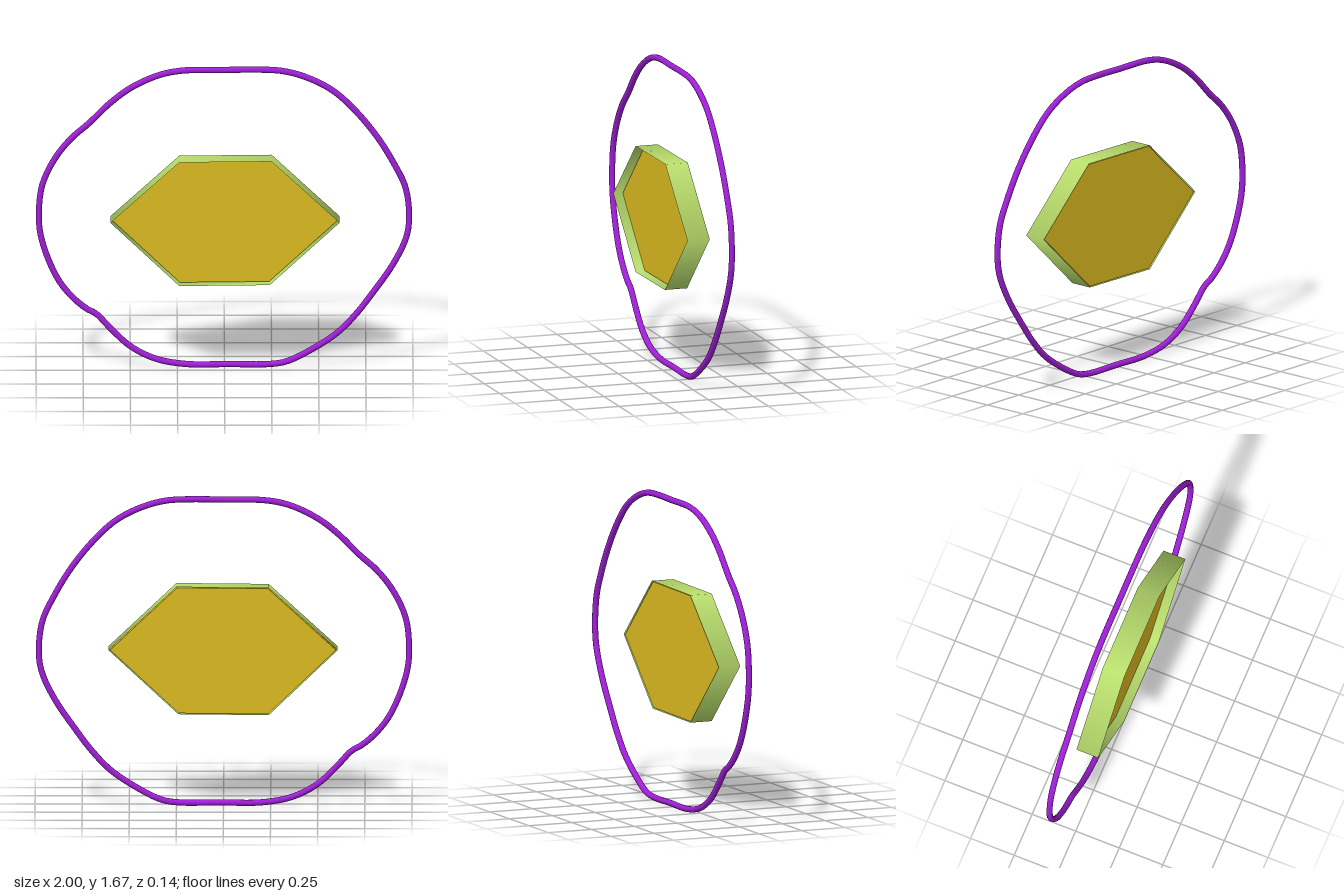
import * as THREE from 'three';

// Corners of the hexagon, counter-clockwise from +x
const HEX = [[0.61, 0.84], [0.25, 1.18], [-0.24, 1.175], [-0.605, 0.84], [-0.24, 0.49], [0.24, 0.495]];

// Centre line of the hoop, counter-clockwise from +x
const HOOP = [
  [0.98, 0.84], [0.96, 1.0], [0.9, 1.13], [0.81, 1.28], [0.69, 1.43], [0.57, 1.54], [0.435, 1.61],
  [0.31, 1.645], [0.18, 1.653], [0, 1.651], [-0.23, 1.647], [-0.355, 1.62], [-0.5, 1.55], [-0.61, 1.465],
  [-0.72, 1.355], [-0.815, 1.27], [-0.9, 1.16], [-0.965, 1.02], [-0.984, 0.885], [-0.978, 0.75],
  [-0.93, 0.59], [-0.87, 0.47], [-0.795, 0.38], [-0.72, 0.32], [-0.68, 0.3], [-0.62, 0.235],
  [-0.5, 0.12], [-0.365, 0.05], [-0.2, 0.02], [0.02, 0.02], [0.24, 0.02], [0.33, 0.035], [0.46, 0.1],
  [0.6, 0.195], [0.7, 0.3], [0.79, 0.42], [0.895, 0.575], [0.965, 0.725],
];

function addMesh(group, name, geometry, color, side = THREE.FrontSide) {
  const mesh = new THREE.Mesh(geometry, new THREE.MeshStandardMaterial({ color, side }));
  mesh.name = name;
  group.add(mesh);
}

export function createModel() {
  const group = new THREE.Group();
  group.name = 'hexagonInHoop';

  // Thin hoop around the hexagon, at the back plane
  const path = new THREE.CatmullRomCurve3(HOOP.map(([x, y]) => new THREE.Vector3(x, y, -0.053)), true);
  addMesh(group, 'hoop', new THREE.TubeGeometry(path, 160, 0.0165, 10, true), 0xa01fd8);

  // Open six-sided wall with smooth normals, stretched onto the hexagon
  const front = 0.07, back = -0.055;
  const wall = new THREE.CylinderGeometry(1, 1, 1, 6, 1, true, Math.PI / 2);
  wall.rotateX(Math.PI / 2);
  const pos = wall.attributes.position;
  for (let i = 0; i < pos.count; i++) {
    const [x, y] = HEX[(i % 7) % 6];
    pos.setXYZ(i, x, y, i < 7 ? front : back);
  }
  addMesh(group, 'rim', wall, 0xb8dc6c, THREE.DoubleSide);

  // Solid plate inside the wall, sunk below its front edge
  const inset = HEX.map(([x, y]) => new THREE.Vector2(x * 0.986, 0.836 + (y - 0.836) * 0.986));
  const plate = new THREE.ExtrudeGeometry(new THREE.Shape(inset), { depth: 0.07, bevelEnabled: false });
  plate.translate(0, 0, -0.05);
  addMesh(group, 'plate', plate, 0xdcba20);

  return group;
}
